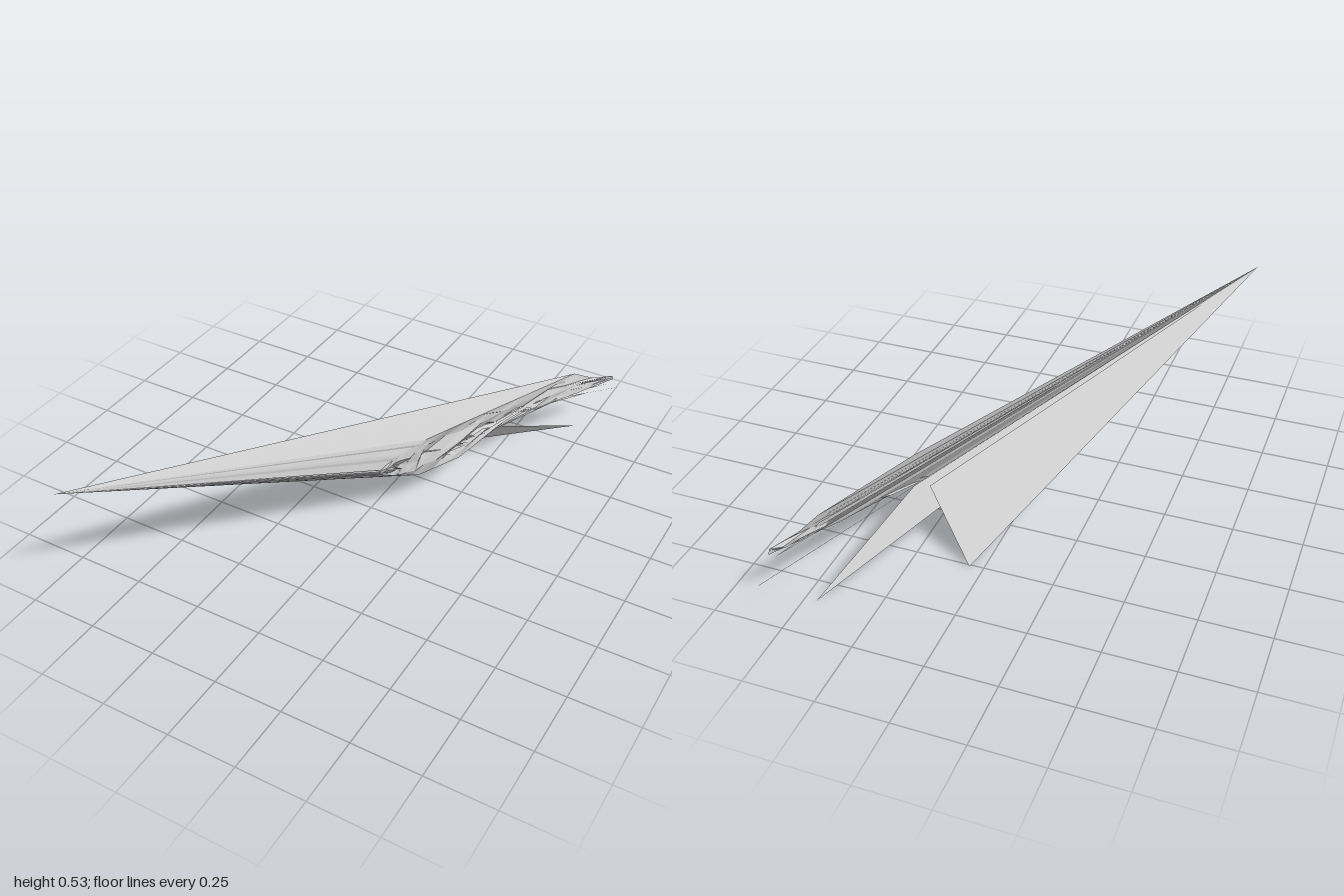
import * as THREE from 'three';

const material = new THREE.MeshStandardMaterial({ color: 0xcccccc, flatShading: true, side: THREE.DoubleSide });
const v = (x, y, z) => new THREE.Vector3(x, y, z);

// Every sheet and splinter starts at this sharp nose
const nose = v(-0.575, 0.53, 0.99);

function meshFrom(name, triangles) {
  const geometry = new THREE.BufferGeometry().setFromPoints(triangles.flat());
  geometry.computeVertexNormals();
  const mesh = new THREE.Mesh(geometry, material);
  mesh.name = name;
  return mesh;
}

// Triangles from the nose to each pair of neighbouring points
function fan(points) {
  return points.slice(1).map((p, i) => [nose, points[i], p]);
}

function seeded(seed) {
  return () => (seed = (seed * 16807) % 2147483647) / 2147483647;
}

export function createModel() {
  const group = new THREE.Group();
  const random = seeded(41);
  const jitter = (size) => (random() - 0.5) * size;

  // Upper and lower outlines of the crumpled end, from front to tail
  const upper = [
    v(0.08, 0.262, 0.08), v(0.12, 0.295, 0), v(0.17, 0.315, -0.1), v(0.30, 0.32, -0.38),
    v(0.46, 0.305, -0.77), v(0.51, 0.262, -0.84), v(0.565, 0.245, -0.915),
  ];
  const lower = [
    v(0.078, 0.235, 0.07), v(0.11, 0.195, 0), v(0.15, 0.153, -0.09), v(0.235, 0.165, -0.24),
    v(0.30, 0.215, -0.40), v(0.43, 0.222, -0.68), v(0.565, 0.226, -0.92),
  ];
  group.add(meshFrom('upperSheet', fan(upper)));
  group.add(meshFrom('lowerSheet', fan(lower)));

  // Point on the band: t runs front to tail, s runs lower to upper
  function bandPoint(t, s) {
    const f = t * (upper.length - 1);
    const i = Math.min(Math.floor(f), upper.length - 2);
    const a = lower[i].clone().lerp(lower[i + 1], f - i);
    const b = upper[i].clone().lerp(upper[i + 1], f - i);
    return a.lerp(b, s);
  }

  // Crumpled band between the outlines
  const columns = 18, rows = 4, grid = [];
  for (let i = 0; i <= columns; i++) {
    grid.push([]);
    for (let j = 0; j <= rows; j++) {
      const p = bandPoint(i / columns, j / rows);
      if (j > 0 && j < rows && i > 0 && i < columns) p.add(v(jitter(0.02), jitter(0.02), jitter(0.03)));
      grid[i].push(p);
    }
  }
  const crumple = [];
  for (let i = 0; i < columns; i++) {
    for (let j = 0; j < rows; j++) {
      const [a, b, c, d] = [grid[i][j], grid[i + 1][j], grid[i + 1][j + 1], grid[i][j + 1]];
      crumple.push([a, b, c], [a, c, d]);
    }
  }
  group.add(meshFrom('crumpledEnd', crumple));

  // Thin splinters running from the nose to the crumpled end
  const splinters = [];
  for (let i = 0; i < 70; i++) {
    const t = random() * 0.9, s = random();
    const a = bandPoint(t, s);
    const b = bandPoint(t + 0.03 + random() * 0.06, Math.min(1, Math.max(0, s + jitter(0.35))));
    a.x += jitter(0.012);
    b.x += jitter(0.012);
    splinters.push([nose, a, b]);
  }
  group.add(meshFrom('splinters', splinters));

  // Ragged tail points and one long needle
  const tail = [
    [v(0.555, 0.208, -0.91), v(0.50, 0.228, -0.80)],
    [v(0.51, 0.2, -0.83), v(0.42, 0.22, -0.66)],
    [v(0.54, 0.222, -0.88), v(0.47, 0.236, -0.75)],
    [v(0.565, 0.236, -0.92), v(0.565, 0.226, -0.92)],
  ];
  group.add(meshFrom('tailPoints', tail.map(([a, b]) => [nose, a, b])));
  group.add(meshFrom('needle', [[nose, v(0.572, 0.15, -0.99), v(0.57, 0.152, -0.985)]]));

  // Two flat fins hanging below the body
  group.add(meshFrom('largeFin', [[nose, v(0.05, 0, -0.51), v(0.235, 0.22, -0.40)]]));
  group.add(meshFrom('smallFin', [[nose, v(0.455, 0.005, -0.85), v(0.285, 0.22, -0.41)]]));
  return group;
}
